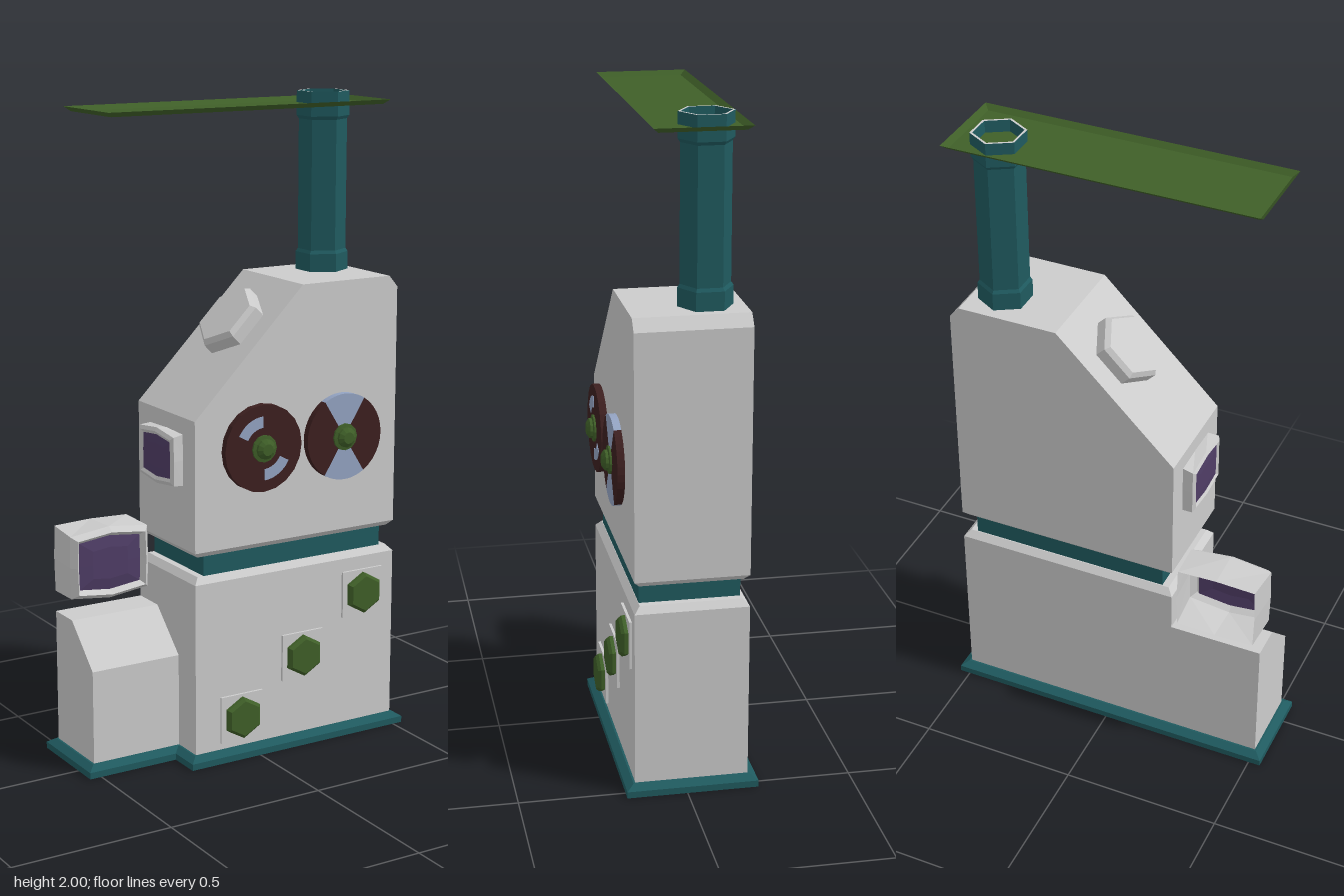
import * as THREE from 'three';

const mat = (color) => new THREE.MeshStandardMaterial({ color, flatShading: true, side: THREE.DoubleSide });
const grey = mat(0xcccccc), teal = mat(0x1f5a5f), green = mat(0x3f5f28);
const brown = mat(0x3c1f1f), blue = mat(0x93a3c2), purple = mat(0x4f3d66);

function add(parent, name, geometry, material, x = 0, y = 0, z = 0) {
  const mesh = new THREE.Mesh(geometry, material);
  mesh.name = name;
  mesh.position.set(x, y, z);
  parent.add(mesh);
  return mesh;
}

// Skin between rings of equal point count; rings run counter-clockwise seen from the last one
function loft(rings, cap = false) {
  const n = rings[0].length, index = [], pos = rings.flat(2);
  for (let r = 0; r < rings.length - 1; r++)
    for (let i = 0; i < n; i++) {
      const a = r * n + i, b = r * n + (i + 1) % n;
      index.push(a, b, b + n, a, b + n, a + n);
    }
  const last = (rings.length - 1) * n;
  if (cap) for (let i = 1; i < n - 1; i++) index.push(last, last + i, last + i + 1);
  const g = new THREE.BufferGeometry();
  g.setAttribute('position', new THREE.Float32BufferAttribute(pos, 3));
  g.setIndex(index);
  const flat = g.toNonIndexed();
  flat.computeVertexNormals();
  return flat;
}

// Turned profile [radius, height] with a chosen number of sides
const turned = (profile, sides) =>
  new THREE.LatheGeometry(profile.map(([r, y]) => new THREE.Vector2(r, y)), sides);

function extrude(points, depth) {
  const shape = new THREE.Shape(points.map(([x, y]) => new THREE.Vector2(x, y)));
  return new THREE.ExtrudeGeometry(shape, { depth, bevelEnabled: false });
}

// Ring segment as a solid plate
function sector(r0, r1, from, to, depth) {
  const s = new THREE.Shape(), a = THREE.MathUtils.degToRad(from), b = THREE.MathUtils.degToRad(to);
  s.absarc(0, 0, r1, a, b, false);
  s.absarc(0, 0, r0, b, a, true);
  return new THREE.ExtrudeGeometry(s, { depth, bevelEnabled: false, curveSegments: 6 });
}

// Plan outlines: main body, and main body with side cabinet, grown by o
const L = -0.51, M = -0.215, R = 0.505, B = -0.187, F = 0.153, S = 0.05;
const rect = (x0, x1, z0, z1, y, o = 0) =>
  [[x0 - o, y, z1 + o], [x1 + o, y, z1 + o], [x1 + o, y, z0 - o], [x0 - o, y, z0 - o]];
const body = (o, y) => rect(M, R, B, F, y, o);
const plan = (o, y) => [[L - o, y, S + o], [M - o, y, S + o], [M - o, y, F + o],
  [R + o, y, F + o], [R + o, y, B - o], [L - o, y, B - o]];

// Screen with bulging frame, open at the back, front at z = 0
function monitor(name) {
  const g = new THREE.Group();
  g.name = name;
  const ring = (w, h, z, k = 0.86) => [[w, 0], [w * 0.98, h * k], [0, h], [-w * 0.98, h * k],
    [-w, 0], [-w * 0.98, -h * k], [0, -h], [w * 0.98, -h * k]].map(([x, y]) => [x, y, z]);
  add(g, 'frame', loft([ring(0.127, 0.108, -0.14, 0.96), ring(0.134, 0.113, -0.02),
    ring(0.117, 0.098, 0), ring(0.105, 0.085, -0.018)]), grey);
  add(g, 'screen', loft([ring(0.105, 0.085, -0.018), ring(0.06, 0.05, -0.012)], true), purple);
  return g;
}

export function createModel() {
  const model = new THREE.Group();

  // Open foot rim and lower housing
  add(model, 'footRim', loft([plan(0, 0), plan(0.028, 0), plan(0.028, 0.02), plan(0.006, 0.035),
    plan(0, 0.035)]), teal);
  add(model, 'lowerWalls', loft([plan(0, 0.005), plan(0, 0.325)]), grey);
  add(model, 'lowerBody', loft([body(0, 0.325), body(0, 0.573), body(-0.018, 0.593)], true), grey);
  const cabinet = extrude([[-S, 0.325], [-B, 0.325], [-B, 0.45], [0.08, 0.45]], M - L);
  cabinet.rotateY(Math.PI / 2);
  add(model, 'sideCabinetTop', cabinet, grey, L);

  // Waist and upper housing
  add(model, 'waist', new THREE.BoxGeometry(0.64, 0.085, 0.3), teal, 0.145, 0.623, -0.016);
  add(model, 'upperBevel', loft([body(-0.17, 0.655), body(-0.016, 0.655), body(0, 0.672)]), grey);
  add(model, 'upperBody', extrude([[M, 0.672], [R, 0.672], [R, 1.415], [0.475, 1.45], [0.16, 1.45],
    [M, 1.075]], F - B), grey, 0, 0, B);

  // Hexagonal chimney with collars
  const chimney = new THREE.Group();
  chimney.name = 'chimney';
  chimney.position.set(0.377, 0, -0.074);
  model.add(chimney);
  add(chimney, 'pipe', turned([[0.081, 1.445], [0.081, 1.505], [0.074, 1.515], [0.074, 1.915],
    [0.081, 1.925], [0.081, 2]], 6), teal);
  add(chimney, 'rim', turned([[0.081, 2], [0.073, 2]], 6), grey);
  add(chimney, 'bore', turned([[0.073, 2], [0.066, 1.9], [0.066, 1.45]], 6), teal);

  // Shallow dish-shaped roof panel
  add(model, 'roofPanel', loft([rect(-0.457, 0.507, -0.18, 0.098, 1.978).reverse(),
    rect(-0.457, 0.507, -0.18, 0.098, 1.964, -0.016).reverse()], true), green);

  // Hexagonal hatch on the sloping face
  const hatch = turned([[0.113, -0.005], [0.113, 0.035], [0.1, 0.05], [0, 0.05]], 6);
  hatch.rotateY(Math.PI / 6);
  add(model, 'slopeHatch', hatch, grey, 0.024, 1.316, -0.016).rotation.z = Math.PI / 4;

  // Large screen behind the cabinet and small one on the end wall
  const large = monitor('largeMonitor');
  large.position.set(-0.371, 0.608, -0.077);
  const small = monitor('smallMonitor');
  small.position.set(-0.255, 0.944, -0.016);
  small.rotation.y = -Math.PI / 2;
  small.scale.set(0.78, 0.76, 0.3);
  model.add(large, small);

  // Hexagonal buttons on square plates
  [[-0.055, 0.13], [0.165, 0.29], [0.387, 0.457]].forEach(([x, y]) => {
    const button = new THREE.Group();
    button.name = 'button';
    button.position.set(x, y, F);
    const plate = (h, z) => [[-h, -h, z], [h, -h, z], [h, h, z], [-h, h, z]];
    add(button, 'plate', loft([plate(0.074, 0), plate(0.074, 0.008)], true), grey);
    const hex = turned([[0.066, 0], [0.066, 0.019], [0.056, 0.028], [0, 0.028]], 6);
    add(button, 'hexCap', hex.rotateX(Math.PI / 2), green);
    model.add(button);
  });

  // Pair of reels with green hubs
  [0.003, 0.293].forEach((x, i) => {
    const reel = new THREE.Group();
    reel.name = i ? 'leftReel' : 'rightReel';
    reel.position.set(x, 0.975, 0.165);
    if (i) {
      for (const a of [0, 180]) {
        add(reel, 'darkSector', sector(0.02, 0.134, a - 58, a + 58, 0.022), brown);
        add(reel, 'lightSector', sector(0.02, 0.134, a + 58, a + 122, 0.022), blue);
      }
    } else {
      add(reel, 'disc', turned([[0, 0], [0.134, 0], [0.134, 0.022], [0, 0.022]], 20).rotateX(Math.PI / 2), brown);
      for (const a of [92, 272])
        add(reel, 'lightArc', sector(0.064, 0.098, a, a + 60, 0.002), blue, 0, 0, 0.022);
    }
    const hub = turned([[0.02, -0.012], [0.02, 0.02], [0.042, 0.02], [0.042, 0.028], [0.031, 0.03],
      [0.031, 0.038], [0.018, 0.047], [0, 0.047]], 12);
    add(reel, 'hub', hub.rotateX(Math.PI / 2), green);
    model.add(reel);
  });

  return model;
}
